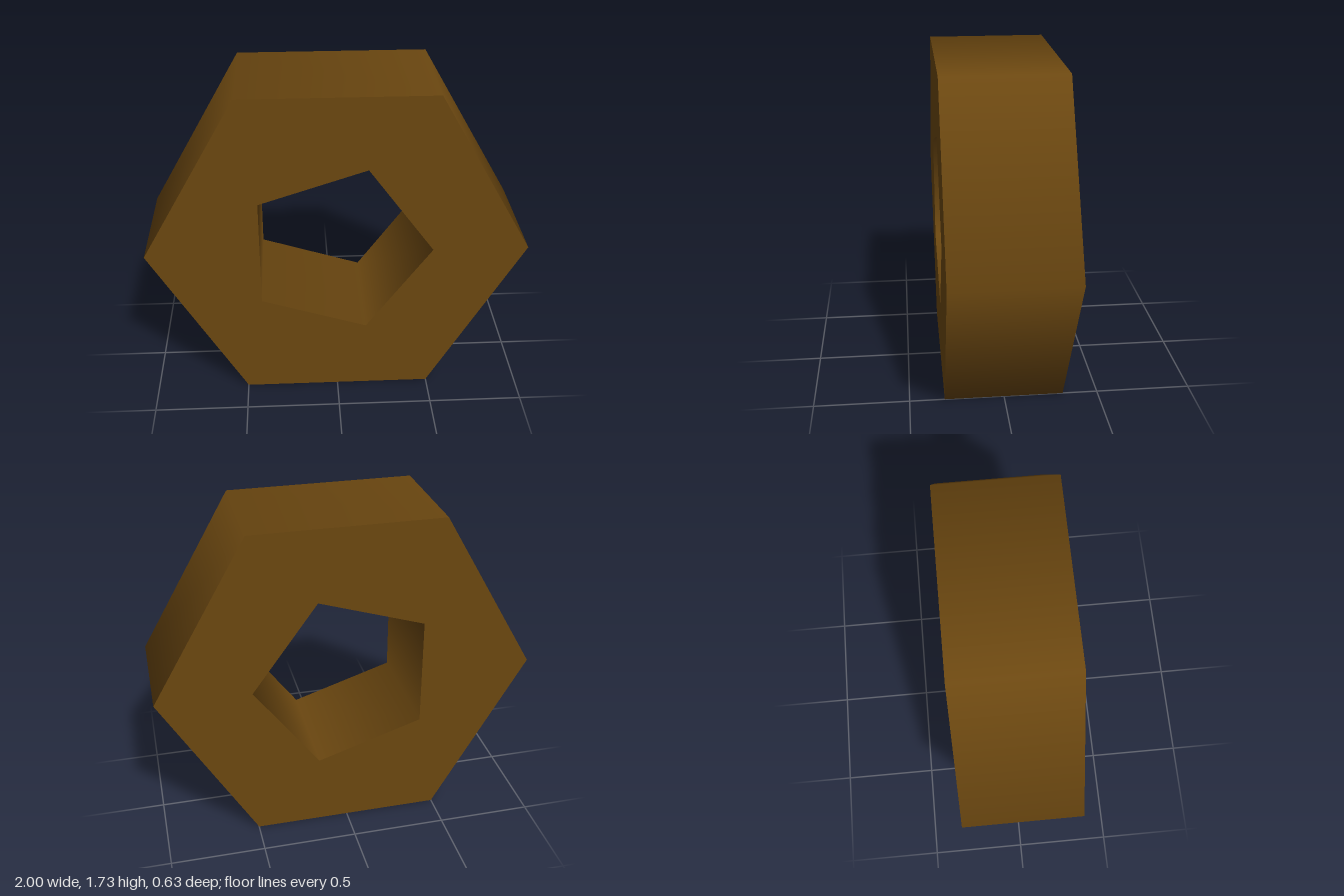
import * as THREE from 'three';

const OUTER = { radius: 1, sides: 6 };
const HOLE = { radius: 0.5, sides: 5 };
const HALF_DEPTH = 0.315;
const CENTRE_Y = Math.sqrt(3) / 2;

// Corner points of a regular polygon with its first corner on +x
function polygon({ radius, sides }) {
  return Array.from({ length: sides }, (_, i) => {
    const a = (i / sides) * Math.PI * 2;
    return new THREE.Vector2(Math.cos(a) * radius, Math.sin(a) * radius);
  });
}

// Smooth-shaded polygonal wall along z; dir 1 faces outward, -1 inward
function wall({ radius, sides }, dir) {
  const profile = [
    new THREE.Vector2(radius, -HALF_DEPTH * dir),
    new THREE.Vector2(radius, HALF_DEPTH * dir),
  ];
  return new THREE.LatheGeometry(profile, sides, Math.PI / 2).rotateX(Math.PI / 2);
}

export function createModel() {
  const group = new THREE.Group();
  group.name = 'hexNut';
  const material = new THREE.MeshStandardMaterial({ color: 0x6b4710 });

  const add = (name, geometry) => {
    const mesh = new THREE.Mesh(geometry, material);
    mesh.name = name;
    mesh.position.y = CENTRE_Y;
    group.add(mesh);
  };

  // Six-sided rim and five-sided bore
  add('outerRim', wall(OUTER, 1));
  add('holeWall', wall(HOLE, -1));

  // Flat front and back faces with the hole cut out
  const face = new THREE.Shape(polygon(OUTER));
  face.holes.push(new THREE.Path(polygon(HOLE)));
  add('frontFace', new THREE.ShapeGeometry(face).translate(0, 0, HALF_DEPTH));
  add('backFace', new THREE.ShapeGeometry(face).translate(0, 0, HALF_DEPTH).rotateX(Math.PI));

  return group;
}
